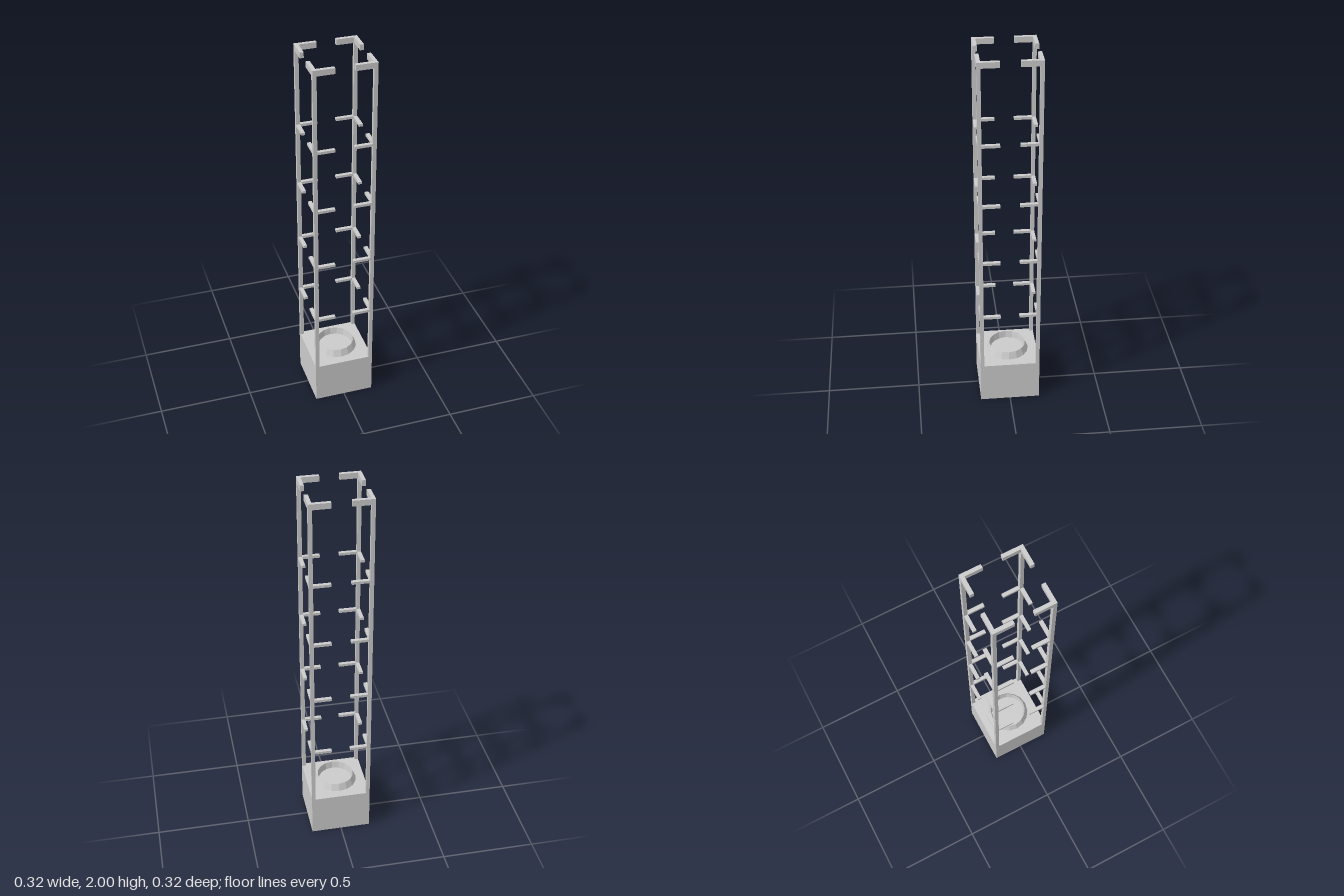
import * as THREE from 'three';

const HALF = 0.161, BAR = 0.02, GAP = 0.05;
const BASE_TOP = 0.228, TOP = 2, CAP = 0.03, RUNG = 0.014;

export function createModel() {
  const model = new THREE.Group();
  model.name = 'towerFrame';
  const material = new THREE.MeshStandardMaterial({ color: 0xcccccc, flatShading: true });

  const add = (parent, name, geometry, x = 0, y = 0, z = 0) => {
    const mesh = new THREE.Mesh(geometry, material);
    mesh.name = name;
    mesh.position.set(x, y, z);
    parent.add(mesh);
    return mesh;
  };

  // Solid square base
  add(model, 'base', new THREE.BoxGeometry(HALF * 2, BASE_TOP, HALF * 2), 0, BASE_TOP / 2, 0);

  // Sixteen-sided tapered collar with a sharp rim
  const collar = [[0.115, BASE_TOP], [0.099, 0.266], [0.092, BASE_TOP]]
    .map(([r, y]) => new THREE.Vector2(r, y));
  add(model, 'collar', new THREE.LatheGeometry(collar, 16));

  // L-shaped corner bracket, laid flat and extruded upwards
  const bracket = (height) => {
    const inner = HALF - BAR;
    const shape = new THREE.Shape([
      [GAP, inner], [inner, inner], [inner, GAP], [HALF, GAP], [HALF, HALF], [GAP, HALF],
    ].map(([x, y]) => new THREE.Vector2(x, y)));
    return new THREE.ExtrudeGeometry(shape, { depth: height, bevelEnabled: false })
      .rotateX(-Math.PI / 2);
  };
  const capGeometry = bracket(CAP);
  const rungGeometry = bracket(RUNG);
  const postHeight = TOP - CAP - BASE_TOP;
  const postGeometry = new THREE.BoxGeometry(BAR, postHeight, BAR);

  // Four identical corners: post, top bracket and four rung brackets
  for (let i = 0; i < 4; i++) {
    const corner = new THREE.Group();
    corner.name = `corner${i + 1}`;
    corner.rotation.y = i * Math.PI / 2;
    const c = HALF - BAR / 2;
    add(corner, 'post', postGeometry, c, BASE_TOP + postHeight / 2, -c);
    add(corner, 'topBracket', capGeometry, 0, TOP - CAP, 0);
    for (let j = 0; j < 4; j++) {
      add(corner, 'rungBracket', rungGeometry, 0, 0.547 + j * 0.338 - RUNG / 2, 0);
    }
    model.add(corner);
  }
  return model;
}
